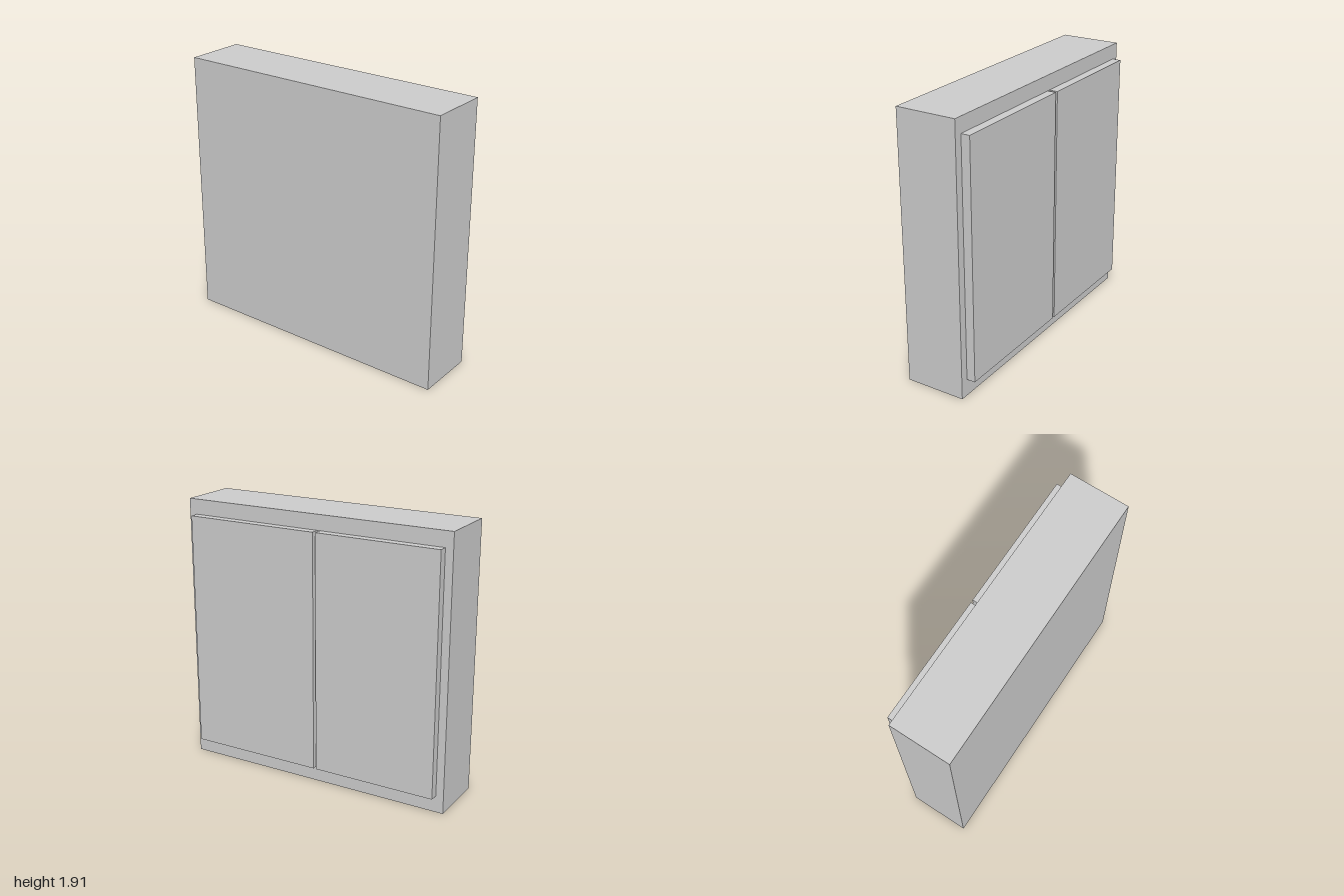
import * as THREE from 'three';

const material = new THREE.MeshStandardMaterial({ color: 0xcccccc, flatShading: true });

export function createModel() {
  const cabinet = new THREE.Group();
  cabinet.name = 'cabinet';

  // Adds a box from its extents along each axis
  const addBox = (name, [x0, x1], [y0, y1], [z0, z1]) => {
    const mesh = new THREE.Mesh(new THREE.BoxGeometry(x1 - x0, y1 - y0, z1 - z0), material);
    mesh.position.set((x0 + x1) / 2, (y0 + y1) / 2, (z0 + z1) / 2);
    mesh.name = name;
    cabinet.add(mesh);
  };

  const back = -0.247, front = 0.185, height = 1.915, wall = 0.06;
  const bottom = 0.12, top = 1.808, side = 0.943;

  // Carcass: one rectangular frame with an opening towards +x
  const frame = new THREE.Shape([[-1, 0], [1, 0], [1, height], [-1, height]].map(p => new THREE.Vector2(...p)));
  frame.holes.push(new THREE.Path(
    [[-side, bottom], [-side, top], [side, top], [side, bottom]].map(p => new THREE.Vector2(...p))));
  const depth = front - back;
  const carcass = new THREE.Mesh(
    new THREE.ExtrudeGeometry(frame, { depth, bevelEnabled: false }), material);
  carcass.rotation.y = Math.PI / 2;
  carcass.position.x = back;
  carcass.name = 'carcass';
  cabinet.add(carcass);

  // Back panel closing the frame
  addBox('backPanel', [back, back + wall], [bottom, top], [-side, side]);

  // Shelves, seen through the gap between the doors
  for (const y of [0.512, 0.957, 1.43]) {
    addBox('shelf', [back + wall, front - 0.005], [y - 0.035, y + 0.035], [-side, side]);
  }

  // Pair of doors on the front of the carcass
  addBox('leftDoor', [front, 0.247], [bottom, top], [-0.945, -0.055]);
  addBox('rightDoor', [front, 0.247], [bottom, top], [-0.035, 0.943]);

  return cabinet;
}
